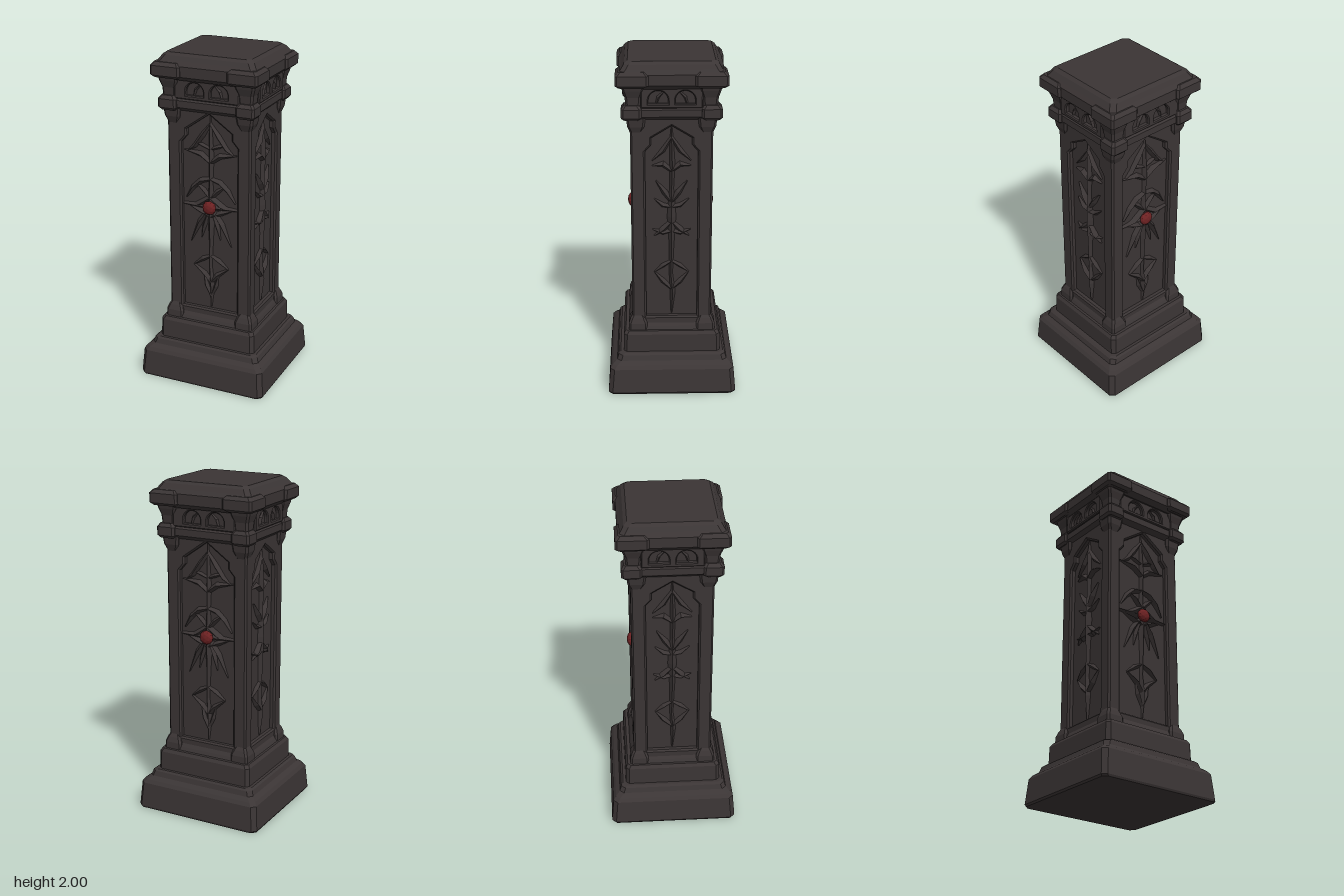
import * as THREE from 'three';

const stone = new THREE.MeshStandardMaterial({ color: 0x3b3535, flatShading: true });
stone.name = 'dark stone';
const red = new THREE.MeshStandardMaterial({ color: 0x6e2223, flatShading: true });
red.name = 'red gem';

function mesh(name, geometry, material = stone) {
  const m = new THREE.Mesh(geometry, material);
  m.name = name;
  return m;
}

function fromTriangles(positions) {
  const g = new THREE.BufferGeometry();
  g.setAttribute('position', new THREE.Float32BufferAttribute(positions.flat(), 3));
  g.computeVertexNormals();
  return g;
}

// Stacked rectangular rings [y, half width, half depth] with chamfered corners
function loft(rings, c = 0.02) {
  const loops = rings.map(([y, a, b]) => [
    [-a + c, y, b], [a - c, y, b], [a, y, b - c], [a, y, -b + c],
    [a - c, y, -b], [-a + c, y, -b], [-a, y, -b + c], [-a, y, b - c]]);
  const out = [];
  const last = loops.length - 1;
  for (let j = 0; j < 8; j++) {
    const k = (j + 1) % 8;
    for (let i = 0; i < last; i++) {
      const p = loops[i], q = loops[i + 1];
      out.push(p[j], p[k], q[k], p[j], q[k], q[j]);
    }
    out.push(loops[last][j], loops[last][k], [0, rings[last][0], 0]);
    out.push(loops[0][k], loops[0][j], [0, rings[0][0], 0]);
  }
  return fromTriangles(out);
}

// Carved ridge with a triangular section along points [x, y, half width]
function ridge(points) {
  const rows = points.map(([x, y, w], i) => {
    const a = points[Math.max(i - 1, 0)], b = points[Math.min(i + 1, points.length - 1)];
    const dx = b[0] - a[0], dy = b[1] - a[1], len = Math.hypot(dx, dy);
    const nx = dy / len * w, ny = -dx / len * w;
    return [[x - nx, y - ny, 0], [x, y, Math.min(0.028, w * 1.3 + 0.004)], [x + nx, y + ny, 0]];
  });
  const out = [];
  for (let i = 0; i < rows.length - 1; i++) {
    for (let s = 0; s < 2; s++) {
      const p = rows[i], q = rows[i + 1];
      out.push(p[s], p[s + 1], q[s + 1], p[s], q[s + 1], q[s]);
    }
  }
  return fromTriangles(out);
}

const path = (points) => new THREE.Path(points.map(([x, y]) => new THREE.Vector2(x, y)));

// Plate with holes whose bevelled front lies at z = 0
function plate(hw, y0, y1, holes, thickness, bevel) {
  const shape = new THREE.Shape([[-hw, y0], [hw, y0], [hw, y1], [-hw, y1]].map(([x, y]) => new THREE.Vector2(x, y)));
  shape.holes.push(...holes);
  const g = new THREE.ExtrudeGeometry(shape, {
    depth: thickness - bevel, bevelSize: bevel, bevelThickness: bevel, bevelOffset: -bevel, bevelSegments: 1, curveSegments: 8 });
  return g.translate(0, 0, -thickness);
}

// Half of each ornament; every branch is mirrored across the stem
const frontBranches = [
  [[0, 1.1, 0.02], [0.09, 1.1, 0.014], [0.175, 1.1, 0.008]],
  [[0, 1.16, 0.016], [0.07, 1.11, 0.02], [0.13, 1.09, 0.004]],
  [[0, 1.04, 0.014], [0.07, 1.07, 0.016], [0.13, 1.09, 0.004]],
  [[0, 1.27, 0.012], [0.06, 1.255, 0.017], [0.11, 1.21, 0.015], [0.155, 1.14, 0.004]],
  [[0, 1.15, 0.012], [0.045, 1.2, 0.014], [0.09, 1.235, 0.005]],
  [[0.02, 1.07, 0.016], [0.07, 1.0, 0.017], [0.13, 0.865, 0.002]],
  [[0.015, 1.06, 0.014], [0.045, 0.97, 0.013], [0.06, 0.9, 0.002]],
  [[0, 1.37, 0.014], [0.06, 1.415, 0.018], [0.165, 1.43, 0.003]],
  [[0, 1.6, 0.008], [0.05, 1.53, 0.016], [0.1, 1.46, 0.014], [0.14, 1.43, 0.004]],
  [[0, 1.45, 0.008], [0.05, 1.47, 0.012], [0.09, 1.48, 0.003]],
  [[0, 0.62, 0.012], [0.04, 0.67, 0.016], [0.11, 0.72, 0.004]],
  [[0, 0.79, 0.008], [0.05, 0.765, 0.015], [0.11, 0.72, 0.004]],
  [[0, 0.53, 0.008], [0.03, 0.6, 0.014], [0.045, 0.66, 0.003]],
];
const sideBranches = [
  [[0, 1.36, 0.012], [0.05, 1.4, 0.018], [0.11, 1.39, 0.003]],
  [[0, 1.56, 0.008], [0.05, 1.48, 0.015], [0.11, 1.42, 0.003]],
  [[0, 1.17, 0.012], [0.04, 1.23, 0.018], [0.09, 1.3, 0.003]],
  [[0, 1.14, 0.012], [0.05, 1.15, 0.014], [0.1, 1.19, 0.003]],
  [[0, 1.05, 0.012], [0.05, 1.0, 0.018], [0.1, 0.96, 0.003]],
  [[0, 0.99, 0.01], [0.05, 0.98, 0.016], [0.11, 1.0, 0.003]],
  [[0, 0.62, 0.01], [0.05, 0.67, 0.016], [0.1, 0.73, 0.003]],
  [[0, 0.8, 0.008], [0.05, 0.77, 0.014], [0.1, 0.73, 0.003]],
];

// One decorated face of the shaft and frieze, facing +z
function decoratedFace(wide) {
  const g = new THREE.Group();
  g.name = wide ? 'gemFace' : 'plainFace';
  const hw = wide ? 0.26 : 0.233, face = wide ? 0.233 : 0.26;
  const p = wide ? 0.177 : 0.15, peak = wide ? 1.66 : 1.63;

  // Frame with a shouldered pointed arch
  const arch = path([[-p, 0.45], [-p, 1.48], [-p + 0.035, 1.52], [-p + 0.035, 1.56], [0, peak],
    [p - 0.035, 1.56], [p - 0.035, 1.52], [p, 1.48], [p, 0.45]]);
  const frame = mesh('archedFrame', plate(hw, 0.38, 1.7, [arch], 0.04, 0.01));
  frame.position.z = face;
  g.add(frame);

  // Thorny vine relief
  const vine = new THREE.Group();
  vine.name = 'vineRelief';
  vine.position.z = face - 0.031;
  vine.add(mesh('stem', ridge([[0, 0.46, 0.004], [0.006, 0.6, 0.016], [-0.004, 0.72, 0.01], [0, 0.9, 0.014],
    [0, 1.08, 0.026], [0, 1.25, 0.012], [0.004, 1.4, 0.016], [0, 1.55, 0.01], [0, peak - 0.01, 0.003]])));
  for (const branch of wide ? frontBranches : sideBranches) {
    for (const s of [-1, 1]) vine.add(mesh('thorn', ridge(branch.map(([x, y, w]) => [x * s, y, w]))));
  }
  g.add(vine);

  // Frieze pierced by small round arches
  const holes = [-1, 1].map((s) => {
    const h = new THREE.Path();
    h.moveTo(s * 0.075 - 0.055, 1.765);
    h.lineTo(s * 0.075 + 0.055, 1.765);
    h.lineTo(s * 0.075 + 0.055, 1.785);
    h.absarc(s * 0.075, 1.785, 0.055, 0, Math.PI, false);
    return h;
  });
  const frieze = mesh('archedFrieze', plate(hw - 0.06, 1.74, 1.87, holes, 0.025, 0.006));
  frieze.position.z = face + 0.026;
  g.add(frieze);
  for (const s of [-1, 1]) {
    const rib = mesh('friezeRib', ridge([[s * 0.085, 1.765, 0.006], [s * 0.075, 1.8, 0.009], [s * 0.045, 1.83, 0.004]]));
    rib.position.z = face + 0.002;
    g.add(rib);
  }

  if (wide) {
    const gem = mesh('gem', new THREE.IcosahedronGeometry(0.042, 1), red);
    gem.scale.z = 0.6;
    gem.position.set(0, 1.1, face - 0.004);
    g.add(gem);
  }
  return g;
}

export function createModel() {
  const model = new THREE.Group();
  model.name = 'gothicPillar';

  // Stepped base
  model.add(mesh('plinth', loft([[0, 0.395, 0.375], [0.012, 0.402, 0.38], [0.16, 0.39, 0.367], [0.18, 0.375, 0.352],
    [0.2, 0.348, 0.326], [0.23, 0.338, 0.317], [0.24, 0.325, 0.305]], 0.025)));
  model.add(mesh('baseBlock', loft([[0.235, 0.307, 0.288], [0.35, 0.305, 0.285], [0.37, 0.293, 0.273]])));
  model.add(mesh('sill', loft([[0.36, 0.283, 0.258], [0.39, 0.27, 0.245], [0.45, 0.235, 0.21]])));

  // Shaft core behind the carved faces
  model.add(mesh('shaftCore', loft([[0.37, 0.229, 0.202], [1.75, 0.229, 0.202]])));
  for (let i = 0; i < 4; i++) {
    const face = decoratedFace(i % 2 === 0);
    face.rotation.y = i * Math.PI / 2;
    model.add(face);
  }

  // Capital
  model.add(mesh('lowerMoulding', loft([[1.665, 0.255, 0.23], [1.69, 0.283, 0.262], [1.73, 0.283, 0.262], [1.75, 0.262, 0.24]])));
  model.add(mesh('friezeCore', loft([[1.74, 0.262, 0.235], [1.88, 0.262, 0.235]])));
  model.add(mesh('capSlab', loft([[1.85, 0.288, 0.268], [1.875, 0.313, 0.297], [1.935, 0.313, 0.297], [1.96, 0.295, 0.278],
    [1.985, 0.278, 0.262], [2, 0.258, 0.243]], 0.025)));

  // Corner blocks repeated on all four corners
  const corners = [
    ['footBlock', 0.225, 0.2, [[0.36, 0.057, 0.057], [0.41, 0.055, 0.055], [0.44, 0.044, 0.044], [0.465, 0.03, 0.03]]],
    ['corbel', 0.225, 0.2, [[1.59, 0.033, 0.033], [1.63, 0.048, 0.048], [1.68, 0.054, 0.054]]],
    ['mouldingBlock', 0.24, 0.225, [[1.67, 0.044, 0.044], [1.685, 0.057, 0.057], [1.735, 0.057, 0.057], [1.755, 0.042, 0.042]]],
    ['friezePost', 0.235, 0.215, [[1.74, 0.04, 0.04], [1.8, 0.045, 0.045], [1.84, 0.058, 0.058], [1.88, 0.066, 0.066]]],
    ['capBlock', 0.235, 0.22, [[1.86, 0.075, 0.075], [1.875, 0.092, 0.092], [1.93, 0.092, 0.092], [1.95, 0.074, 0.074]]],
  ];
  for (const [name, x, z, rings] of corners) {
    const geometry = loft(rings, 0.012);
    for (const sx of [-1, 1]) for (const sz of [-1, 1]) {
      const block = mesh(name, geometry);
      block.position.set(sx * x, 0, sz * z);
      model.add(block);
    }
  }
  return model;
}
